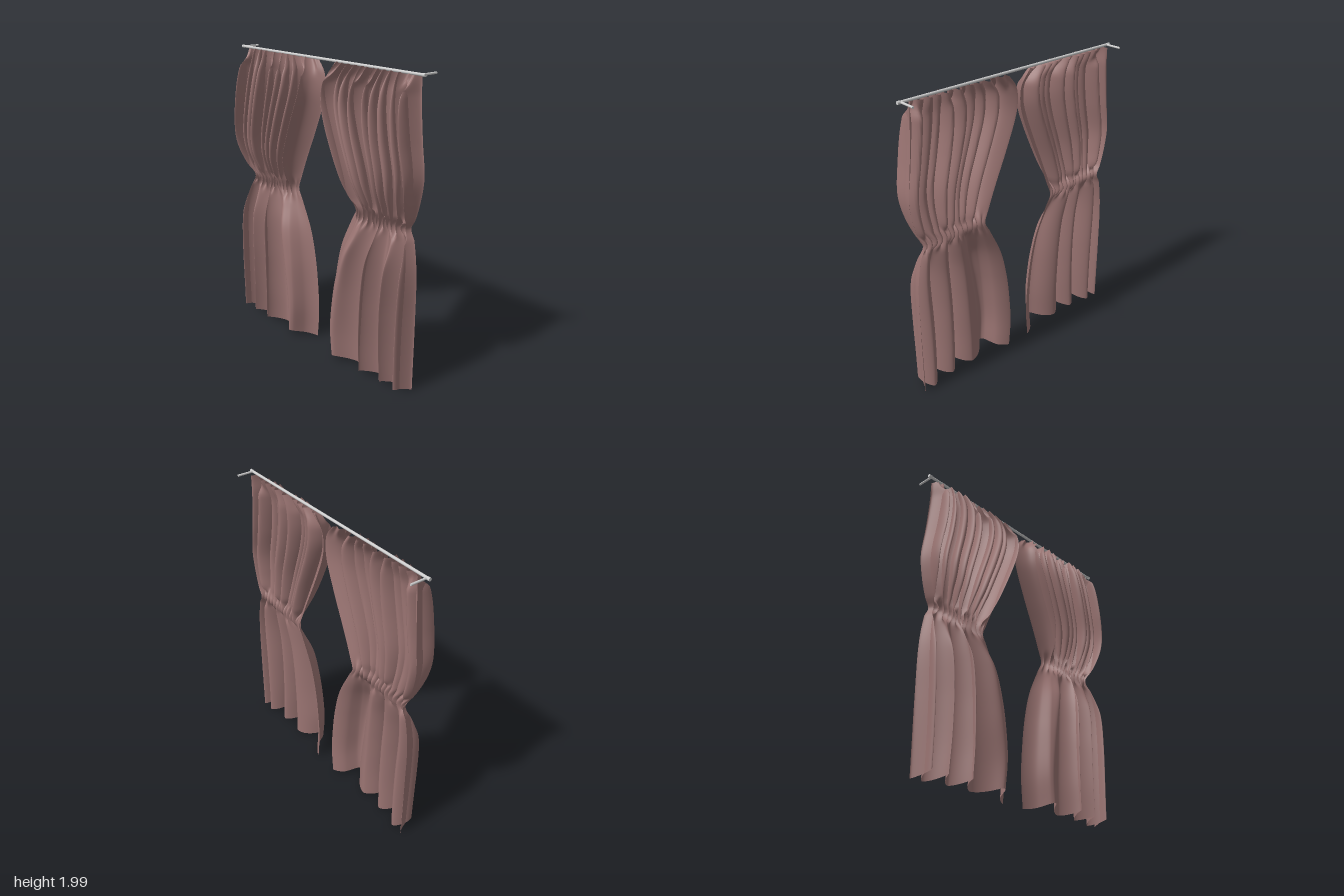
import * as THREE from 'three';

// Smooth curve through [x, value] points listed in rising order
function profile(points) {
  const slope = points.map((p, i) => {
    const a = points[Math.max(i - 1, 0)], b = points[Math.min(i + 1, points.length - 1)];
    return (b[1] - a[1]) / (b[0] - a[0]);
  });
  return (y) => {
    let i = 0;
    while (i < points.length - 2 && y > points[i + 1][0]) i++;
    const [y0, v0] = points[i], [y1, v1] = points[i + 1];
    const h = y1 - y0, t = THREE.MathUtils.clamp((y - y0) / h, 0, 1), u = 1 - t;
    return v0 * (1 + 2 * t) * u * u + slope[i] * h * t * u * u
      + v1 * t * t * (3 - 2 * t) - slope[i + 1] * h * t * t * u;
  };
}

// Outline of one curtain and how far its folds swell forward, by height
const innerEdge = profile([[0, 0.09], [0.2, 0.075], [0.4, 0.085], [0.6, 0.11], [0.8, 0.16], [1, 0.255],
  [1.07, 0.29], [1.15, 0.262], [1.3, 0.2], [1.5, 0.11], [1.7, 0.03], [1.8, 0.01], [1.9, 0.022], [1.98, 0.08]]);
const outerEdge = profile([[0, 0.83], [0.5, 0.83], [0.8, 0.825], [1, 0.795], [1.07, 0.765], [1.13, 0.795],
  [1.25, 0.83], [1.4, 0.85], [1.6, 0.828], [1.8, 0.81], [1.98, 0.8]]);
const depth = profile([[0, 0.155], [0.3, 0.16], [0.6, 0.16], [0.8, 0.145], [0.95, 0.09], [1.06, 0.055],
  [1.15, 0.095], [1.3, 0.155], [1.5, 0.176], [1.7, 0.172], [1.85, 0.145], [1.94, 0.1], [1.98, 0.07]]);

// Fold count across the width: each whole number is a valley
const upperFolds = profile([[0, 0], [0.2, 1], [0.31, 2], [0.39, 3], [0.5, 4], [0.61, 5], [0.7, 6], [0.77, 7],
  [0.9, 8], [1, 9]]);
const lowerFolds = profile([[0, 0], [0.42, 1], [0.64, 2], [0.89, 3], [1, 4]]);

const smooth = THREE.MathUtils.smoothstep;
const mix = THREE.MathUtils.lerp;

// Rounded fold between a valley floor and a crest; returns height and sideways lean
function pleat(phase, floor, crest = 1) {
  const wave = (0.5 - 0.5 * Math.cos(2 * Math.PI * phase)) ** 0.75;
  return [mix(floor, crest, wave), Math.sin(2 * Math.PI * phase)];
}

function drape(s, y) {
  const upper = pleat(upperFolds(s) + 0.12 * Math.sin(2.5 * y + 9 * s) * smooth(s, 0, 0.1),
    0.18 + 0.18 * Math.sin(17 * s + 1.5), 0.9 + 0.1 * Math.sin(21 * s));
  const lower = pleat(lowerFolds(s) + 0.06 * Math.sin(3 * y + 8 * s) * smooth(s, 0, 0.1),
    0.16 + 0.14 * Math.sin(11 * s + 2), 0.92 + 0.08 * Math.sin(13 * s));
  const fine = pleat(14 * s + 0.2 * Math.sin(12 * s), 0.05);
  const up = smooth(y, 0.98, 1.16);
  const gather = 0.85 * Math.exp(-(((y - 1.07) / 0.05) ** 2));
  const heading = 0.6 * smooth(y, 1.86, 1.98);
  const f = Math.max(gather, heading);
  return [0, 1].map((k) => mix(mix(lower[k], upper[k], up), fine[k], f));
}

function curtainGeometry(cols = 230, rows = 110) {
  const pos = [], index = [];
  for (let j = 0; j <= rows; j++) {
    for (let i = 0; i <= cols; i++) {
      const s = i / cols, y = (j / rows) * 1.98;
      const [fold, lean] = drape(s, y);
      const swell = smooth(s, -0.02, 0.14) * smooth(1 - s, -0.02, 0.06);
      const edge = smooth(s, 0, 0.08) * smooth(1 - s, 0, 0.08);
      const d = depth(y);
      const x = mix(innerEdge(y), outerEdge(y), s) + lean * edge * d * 0.17;
      // Hem lifts on the forward folds; heading ruffles over the rod
      const hem = (0.006 + 0.042 * swell * fold) * (1 - smooth(y, 0, 0.5));
      const ruffle = 0.014 * (fold - 0.4) * smooth(y, 1.9, 1.98);
      pos.push(x, y + hem + ruffle, -0.051 + d * swell * fold);
      if (i < cols && j < rows) {
        const a = j * (cols + 1) + i, b = a + cols + 1;
        index.push(a, a + 1, b + 1, a, b + 1, b);
      }
    }
  }
  const g = new THREE.BufferGeometry();
  g.setAttribute('position', new THREE.Float32BufferAttribute(pos, 3));
  g.setIndex(index);
  g.computeVertexNormals();
  return g;
}

export function createModel() {
  const model = new THREE.Group();
  const cloth = new THREE.MeshStandardMaterial({ color: 0x9a7472, side: THREE.DoubleSide });
  const metal = new THREE.MeshStandardMaterial({ color: 0xcccccc });
  const add = (name, geometry, material, x = 0, y = 0, z = 0) => {
    const mesh = new THREE.Mesh(geometry, material);
    mesh.name = name;
    mesh.position.set(x, y, z);
    model.add(mesh);
    return mesh;
  };

  // Pair of mirrored curtains
  const sheet = curtainGeometry();
  add('leftCurtain', sheet, cloth);
  add('rightCurtain', sheet, cloth).scale.x = -1;

  // Rod with end caps and wall brackets
  const rodY = 1.987, rodZ = -0.012;
  add('rod', new THREE.CylinderGeometry(0.009, 0.009, 1.69, 20).rotateZ(Math.PI / 2), metal, 0, rodY, rodZ);
  for (const [side, sign] of [['left', 1], ['right', -1]]) {
    add(side + 'EndCap', new THREE.CylinderGeometry(0.0105, 0.0105, 0.02, 20).rotateZ(Math.PI / 2),
      metal, sign * 0.845, rodY, rodZ);
    add(side + 'Bracket', new THREE.CylinderGeometry(0.007, 0.007, 0.113, 16).rotateX(Math.PI / 2),
      metal, sign * 0.832, rodY, -0.0685);
  }
  return model;
}
